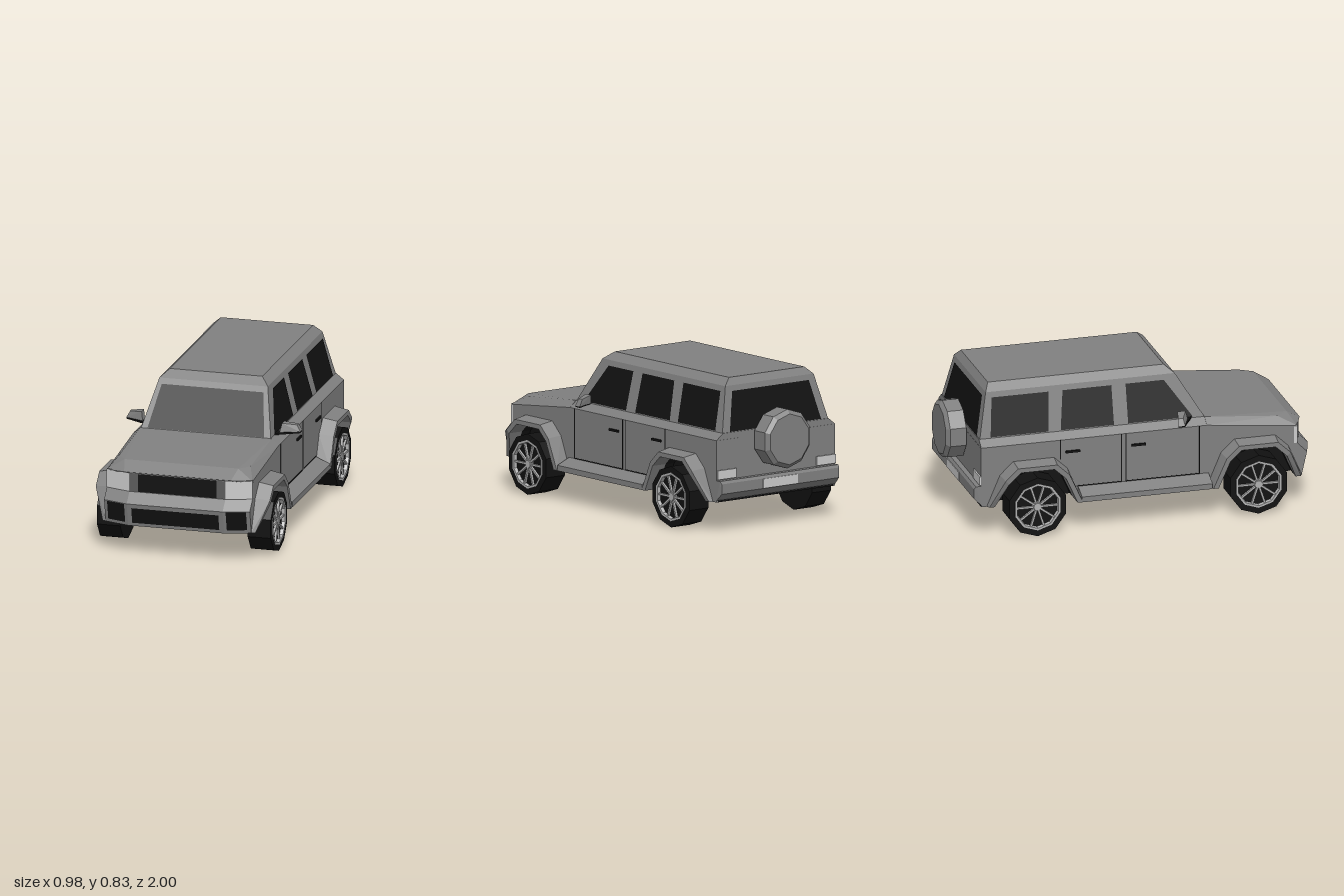
import * as THREE from 'three';
import { ConvexGeometry } from 'three/addons/geometries/ConvexGeometry.js';

const mat = (color, side = THREE.FrontSide) =>
  new THREE.MeshStandardMaterial({ color, flatShading: true, side });
const paint = mat(0x808080), paintThin = mat(0x808080, THREE.DoubleSide);
const black = mat(0x111111), trim = mat(0x5c5c5c), light = mat(0xcccccc), alloy = mat(0xb0b0b0);
const V = (p) => new THREE.Vector3(...p);
const flip = ([x, y, z]) => [-x, y, z];

export function createModel() {
  const car = new THREE.Group();
  car.name = 'offRoadCar';

  const add = (name, geometry, material, parent = car) => {
    const mesh = new THREE.Mesh(geometry, material);
    mesh.name = name;
    parent.add(mesh);
    return mesh;
  };
  const box = (name, size, pos, material, parent = car) => {
    const m = add(name, new THREE.BoxGeometry(...size), material, parent);
    m.position.set(...pos);
    return m;
  };
  // Faceted solid, given by the corners of its left half
  const solid = (name, half, material = paint) =>
    add(name, new ConvexGeometry([...half, ...half.map(flip)].map(V)), material);
  // Flat panel laid just above the surface, facing away from the car's middle
  const panel = (name, pts, material, lift = 0.003) => {
    let p = pts.map(V);
    const mid = p.reduce((s, v) => s.add(v), new THREE.Vector3()).divideScalar(p.length);
    const n = p[1].clone().sub(p[0]).cross(p[2].clone().sub(p[0])).normalize();
    if (n.dot(mid.sub(V([0, 0.4, 0]))) < 0) { p.reverse(); n.negate(); }
    p.forEach((v) => v.addScaledVector(n, lift));
    const g = new THREE.BufferGeometry().setFromPoints(p);
    const index = [];
    for (let i = 1; i < p.length - 1; i++) index.push(0, i, i + 1);
    g.setIndex(index);
    g.computeVertexNormals();
    add(name, g, material);
  };
  const panelPair = (name, pts, material, lift) => {
    panel(name + 'Left', pts, material, lift);
    panel(name + 'Right', pts.map(flip), material, lift);
  };

  // Wheel arch outlines as [dz, y], from door side to bumper side
  const arch = (a, b, c, yb, yc) =>
    [[-a, 0.17], [-b, yb], [-c, yc], [c, yc], [b, yb], [a, 0.17]];
  const outer = arch(0.265, 0.19, 0.115, 0.345, 0.415);
  const lip = arch(0.255, 0.18, 0.11, 0.335, 0.4);
  const inner = arch(0.225, 0.16, 0.095, 0.315, 0.375);
  const axles = [{ end: 'front', z: 0.66, s: 1 }, { end: 'rear', z: -0.585, s: -1 }];

  // Lower body: dark core and painted side panels with arch cut-outs
  const sideShape = new THREE.Shape([
    [-0.88, 0.17], ...inner.map(([d, y]) => [-0.585 + d, y]),
    ...inner.map(([d, y]) => [0.66 + d, y]),
    [0.9, 0.17], [0.9, 0.455], [0.39, 0.51], [-0.88, 0.51],
  ].map(([z, y]) => new THREE.Vector2(z, y)));
  const slab = (name, x0, x1, material) => {
    const g = new THREE.ExtrudeGeometry(sideShape, { depth: x1 - x0, bevelEnabled: false });
    add(name, g.rotateY(-Math.PI / 2).translate(x1, 0, 0), material);
  };
  slab('bodyCore', -0.4, 0.4, black);
  slab('sidePanelLeft', 0.4, 0.41, paint);
  slab('sidePanelRight', -0.41, -0.4, paint);
  box('underbody', [0.68, 0.24, 1.74], [0, 0.292, 0.01], black);

  // Upper body
  solid('hood', [
    [0.41, 0.455, 0.9], [0.3, 0.463, 0.945], [0.32, 0.51, 0.865], [0.37, 0.508, 0.8],
    [0.37, 0.545, 0.39], [0.41, 0.51, 0.39], [0.4, 0.44, 0.39], [0.4, 0.44, 0.9],
  ]);
  solid('nose', [0.3, 0.46].flatMap((y) => [[0.41, y, 0.89], [0.41, y, 0.9], [0.27, y, 0.945]]));
  solid('shoulder', [0.39, -0.88].flatMap((z) =>
    [[0.41, 0.51, z], [0.365, 0.545, z], [0.4, 0.45, z]]));
  solid('cabin', [
    [0.365, 0.545, 0.39], [0.365, 0.545, -0.875], [0.305, 0.79, 0.24],
    [0.305, 0.79, -0.825], [0.26, 0.83, 0.19], [0.26, 0.83, -0.8],
  ]);
  box('tailgate', [0.82, 0.33, 0.02], [0, 0.345, -0.871], paint);

  // Bumpers and running boards
  solid('frontBumper', [
    [0.27, 0.3, 1], [0.41, 0.3, 0.955], [0.27, 0.355, 0.945], [0.41, 0.355, 0.9],
    [0.27, 0.17, 0.97], [0.41, 0.17, 0.925], [0.41, 0.17, 0.89], [0.41, 0.355, 0.89],
  ]);
  solid('rearBumper', [
    [0.41, 0.29, -0.82], [0.41, 0.29, -0.91], [0.405, 0.275, -0.92], [0.405, 0.22, -0.92],
    [0.41, 0.18, -0.88], [0.41, 0.18, -0.82],
  ]);
  for (const s of [1, -1]) {
    const pts = [0.4, -0.335].flatMap((z) =>
      [[0.41, 0.235], [0.49, 0.2], [0.49, 0.17], [0.4, 0.17]].map(([x, y]) => V([s * x, y, z])));
    add('runningBoard', new ConvexGeometry(pts), paint);
  }

  // Windows
  const screenZ = (y) => 0.39 - (y - 0.545) * 0.612;
  const rearZ = (y) => -0.875 + (y - 0.545) * 0.204;
  const glass = (name, zf, b, t, y0) => panel(name,
    [[b, y0, zf(y0)], [t, 0.76, zf(0.76)], [-t, 0.76, zf(0.76)], [-b, y0, zf(y0)]], black);
  glass('windshield', screenZ, 0.328, 0.286, 0.547);
  glass('rearWindow', rearZ, 0.315, 0.265, 0.547);
  const onCabin = ([z, y]) => [0.365 - (y - 0.545) * 0.245, y, z];
  const sideWindows = {
    frontWindow: [[0.325, 0.55], [0.175, 0.76], [-0.04, 0.76], [-0.04, 0.55]],
    middleWindow: [[-0.12, 0.55], [-0.12, 0.76], [-0.395, 0.76], [-0.42, 0.55]],
    quarterWindow: [[-0.49, 0.55], [-0.475, 0.76], [-0.795, 0.76], [-0.815, 0.55]],
  };
  for (const [name, pts] of Object.entries(sideWindows)) panelPair(name, pts.map(onCabin), black);

  // Grille and lights
  panel('grille', [[-0.22, 0.358, 0.945], [0.22, 0.358, 0.945], [0.22, 0.457, 0.945], [-0.22, 0.457, 0.945]], black);
  panelPair('grilleSurround', [[0.22, 0.358, 0.945], [0.27, 0.358, 0.945], [0.27, 0.457, 0.945], [0.22, 0.457, 0.945]], trim);
  panelPair('headlight', [[0.27, 0.357, 0.945], [0.41, 0.357, 0.9], [0.41, 0.457, 0.9], [0.27, 0.457, 0.945]], light);
  panelPair('headlightSide', [[0.41, 0.357, 0.9], [0.41, 0.357, 0.88], [0.41, 0.452, 0.88], [0.41, 0.452, 0.9]], light);
  const onBumper = ([x, y]) => [x, y, 0.97 + (y - 0.17) * 0.2308 - Math.max(0, Math.abs(x) - 0.27) * 0.3214];
  panel('lowerIntake', [[-0.245, 0.19], [0.245, 0.19], [0.245, 0.278], [-0.245, 0.278]].map(onBumper), black);
  panelPair('sideIntake', [[0.285, 0.19], [0.39, 0.19], [0.39, 0.298], [0.285, 0.298]].map(onBumper), black);
  for (const s of [1, -1]) box('tailLight', [0.13, 0.05, 0.02], [s * 0.343, 0.32, -0.879], light);
  box('rearPlate', [0.24, 0.05, 0.006], [0, 0.248, -0.921], light);

  for (const s of [1, -1]) {
    // Door gaps and handles
    for (const [z, y0, y1] of [[0.35, 0.235, 0.51], [-0.065, 0.235, 0.51], [-0.09, 0.235, 0.51], [-0.435, 0.4, 0.51]])
      box('doorGap', [0.003, y1 - y0, 0.005], [s * 0.41, (y0 + y1) / 2, z], black);
    for (const [z0, z1] of [[0.35, -0.065], [-0.09, -0.345]])
      box('doorBottomGap', [0.003, 0.005, z0 - z1], [s * 0.41, 0.237, (z0 + z1) / 2], black);
    for (const z of [0.005, -0.365])
      box('doorHandle', [0.014, 0.012, 0.08], [s * 0.413, 0.44, z], black);

    // Wing mirror: painted head on a dark foot
    const head = [
      [0.49, 0.55, 0.245], [0.49, 0.55, 0.205], [0.47, 0.587, 0.24], [0.47, 0.587, 0.21],
      [0.395, 0.6, 0.275], [0.395, 0.6, 0.23], [0.385, 0.55, 0.29], [0.385, 0.55, 0.24],
    ];
    add('mirrorHead', new ConvexGeometry(head.map(([x, y, z]) => V([s * x, y, z]))), paint);
    const foot = [[0.488, 0.245], [0.488, 0.207], [0.35, 0.325], [0.35, 0.27]];
    add('mirrorFoot', new ConvexGeometry(foot.flatMap(([x, z]) =>
      [V([s * x, 0.543, z]), V([s * x, 0.552, z])])), black);

    for (const axle of axles) {
      // Fender flare: strips between four arch outlines, tapered at the bumper end
      const rows = [[outer, 0.408], [lip, 0.49], [inner, 0.49], [inner, 0.4]];
      const pos = [], index = [];
      rows.forEach(([path, x], r) => path.forEach(([d, y], i) => {
        const px = i === 5 && x > 0.45 ? 0.43 : x;
        pos.push(s * px, y, axle.z + axle.s * d);
        if (r < 3 && i < 5) {
          const a = r * 6 + i;
          index.push(...(s * axle.s > 0 ? [a, a + 6, a + 1, a + 1, a + 6, a + 7] : [a, a + 1, a + 6, a + 1, a + 7, a + 6]));
        }
      }));
      const flare = new THREE.BufferGeometry();
      flare.setAttribute('position', new THREE.Float32BufferAttribute(pos, 3));
      flare.setIndex(index);
      flare.computeVertexNormals();
      add(axle.end + 'Flare', flare, paintThin);

      // Wheel, built with its axle upright and then laid over
      const wheel = new THREE.Group();
      wheel.name = axle.end + 'Wheel';
      wheel.position.set(s * 0.424, 0.168, axle.z);
      wheel.rotation.z = -s * Math.PI / 2;
      car.add(wheel);
      const profile = [[0, -0.065], [0.168, -0.065], [0.168, 0.065], [0.134, 0.065], [0.13, 0.045], [0, 0.045]];
      add('tyre', new THREE.LatheGeometry(profile.map(([r, h]) => new THREE.Vector2(r, h)), 10, Math.PI / 2), black, wheel);
      const ring = [[0.118, 0.048], [0.134, 0.048], [0.134, 0.067], [0.122, 0.067], [0.118, 0.048]];
      add('rim', new THREE.LatheGeometry(ring.map(([r, h]) => new THREE.Vector2(r, h)), 10, Math.PI / 2), alloy, wheel);
      add('hub', new THREE.CylinderGeometry(0.022, 0.028, 0.02, 10), alloy, wheel).position.y = 0.055;
      for (let i = 0; i < 10; i++) {
        const a = (i / 10) * Math.PI * 2;
        const spoke = box('spoke', [0.011, 0.012, 0.105], [Math.sin(a) * 0.07, 0.055, Math.cos(a) * 0.07], alloy, wheel);
        spoke.rotation.y = a;
      }
    }
  }

  // Spare wheel in its cover, on a short mount
  const cover = [[0, 0], [0.163, 0], [0.163, 0.09], [0.14, 0.11], [0, 0.11]];
  const spare = add('spareWheelCover',
    new THREE.LatheGeometry(cover.map(([r, h]) => new THREE.Vector2(r, h)), 10), paint);
  spare.rotation.x = -Math.PI / 2;
  spare.position.set(0, 0.488, -0.89);
  box('spareWheelMount', [0.1, 0.1, 0.04], [0, 0.46, -0.88], black);

  return car;
}
